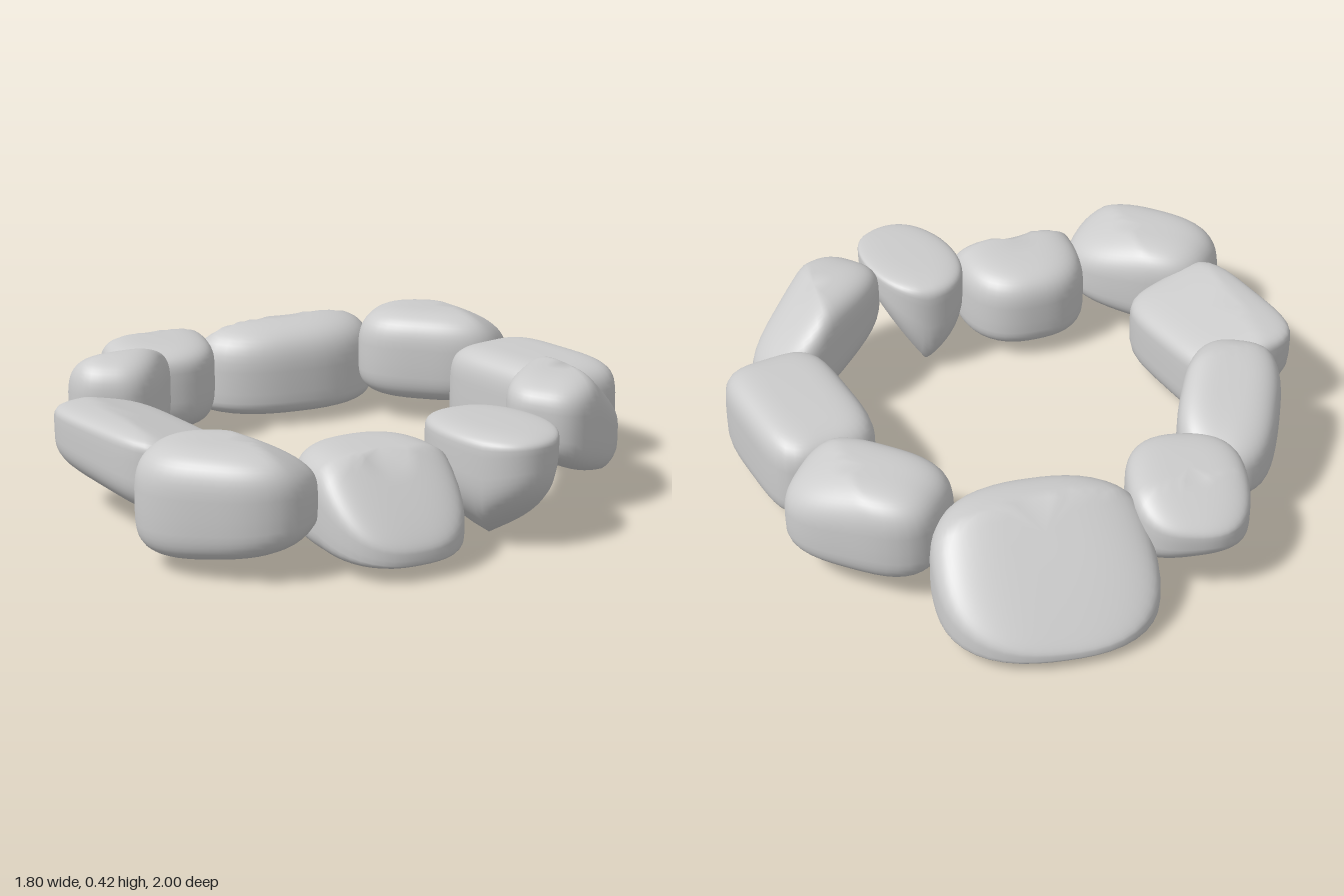
import * as THREE from 'three';
import { mergeVertices } from 'three/addons/utils/BufferGeometryUtils.js';

// A stone is a sphere reshaped to a turned superellipse in plan (half-sizes a and b, exponent square),
// capped by upper and lower facet planes [y at centre, slope along x, slope along z].
// girdle = height fraction of the widest section, round = edge exponent (small is boxy).
function stoneGeometry({ a, b, angle, square, top, low, girdle = 0.45, round = 0.55 }) {
  const geometry = new THREE.SphereGeometry(1, 48, 28);
  const { position, uv } = geometry.attributes;
  for (let i = 0; i < position.count; i++) {
    const turn = -uv.getX(i) * Math.PI * 2;
    const lat = (uv.getY(i) - 0.5) * Math.PI;
    const c = Math.cos(turn);
    const s = Math.sin(turn);

    // Plan position
    const radius = Math.pow(Math.abs(c) ** square + Math.abs(s) ** square, -1 / square);
    const spread = radius * Math.pow(Math.max(0, Math.cos(lat)), round);
    const along = a * spread * c;
    const across = b * spread * s;
    const x = along * Math.cos(angle) - across * Math.sin(angle);
    const z = along * Math.sin(angle) + across * Math.cos(angle);

    // Height between the facets
    const heights = (planes) => planes.map(([y, gx, gz]) => y + gx * x + gz * z);
    const bottom = Math.max(...heights(low));
    const crown = Math.max(bottom + 0.04, Math.min(...heights(top)));
    const middle = bottom + girdle * (crown - bottom);
    const rise = Math.pow(Math.abs(Math.sin(lat)), round);
    position.setXYZ(i, x, lat > 0 ? middle + rise * (crown - middle) : middle - rise * (middle - bottom), z);
  }
  geometry.deleteAttribute('uv');
  geometry.deleteAttribute('normal');
  const smooth = mergeVertices(geometry, 1e-5);
  smooth.computeVertexNormals();
  return smooth;
}

export function createModel() {
  const group = new THREE.Group();
  group.name = 'stoneRing';
  const material = new THREE.MeshStandardMaterial({ color: 0xcccccc });

  function addStone(name, x, z, shape) {
    const mesh = new THREE.Mesh(stoneGeometry(shape), material);
    mesh.name = name;
    mesh.position.set(x, 0, z);
    group.add(mesh);
  }

  // Back of the ring
  addStone('backLargeStone', 0.19, -0.72, {
    a: 0.335, b: 0.275, angle: 0.12, square: 2.5, girdle: 0.3, round: 0.5,
    top: [[0.34, 0, 0], [0.28, 0, 0.75]], low: [[0.02, 0, 0]],
  });
  addStone('backSmallStone', -0.295, -0.62, {
    a: 0.215, b: 0.185, angle: -1.3, square: 2.6, girdle: 0.6, round: 0.5,
    top: [[0.33, 0, 0], [0.36, 0, 0.5]], low: [[0.04, 0, 0], [0.03, 0, -0.5]],
  });

  // Left side, back to front
  addStone('leftBackStone', 0.62, -0.365, {
    a: 0.25, b: 0.17, angle: 0.75, square: 3,
    top: [[0.38, 0, 0], [0.4, -0.35, 0]], low: [[0.07, 0, 0]],
  });
  addStone('leftStone', 0.705, 0.125, {
    a: 0.275, b: 0.18, angle: 1.4, square: 4, round: 0.45,
    top: [[0.33, 0, 0]], low: [[0.02, 0, 0]],
  });
  addStone('leftFrontStone', 0.535, 0.555, {
    a: 0.25, b: 0.15, angle: -0.71, square: 3, girdle: 0.5,
    top: [[0.42, 0, 0], [0.42, -0.75, 0]], low: [[0.1, -0.35, 0], [0.06, 0, 0]],
  });

  // Front of the ring
  addStone('frontWedgeStone', 0.155, 0.745, {
    a: 0.225, b: 0.155, angle: 1.4, square: 2.2, girdle: 0.75, round: 0.5,
    top: [[0.35, 0, 0]], low: [[0, 1.5, 0], [0, -0.8, 0], [0, 0, 0.65]],
  });
  addStone('frontStone', -0.22, 0.745, {
    a: 0.255, b: 0.22, angle: 1.57, square: 2.5, girdle: 0.4, round: 0.5,
    top: [[0.32, 0, 0], [0.35, 0, -0.9]], low: [[0.03, 0, 0]],
  });

  // Right side, front to back
  addStone('rightFrontStone', -0.64, 0.62, {
    a: 0.26, b: 0.18, angle: 0.78, square: 2.6,
    top: [[0.37, 0, 0], [0.39, -0.35, 0]], low: [[0.06, 0.15, 0]],
  });
  addStone('rightStone', -0.69, 0.15, {
    a: 0.28, b: 0.185, angle: 1.37, square: 4, girdle: 0.65, round: 0.42,
    top: [[0.34, 0, 0], [0.32, -0.25, 0]], low: [[0.03, 0, 0], [0.05, -0.5, 0]],
  });
  addStone('rightBackStone', -0.555, -0.33, {
    a: 0.25, b: 0.155, angle: 2.1, square: 2.8, girdle: 0.5,
    top: [[0.42, 0, 0], [0.38, 0, 0.35]], low: [[0.08, 0, 0]],
  });
  return group;
}
